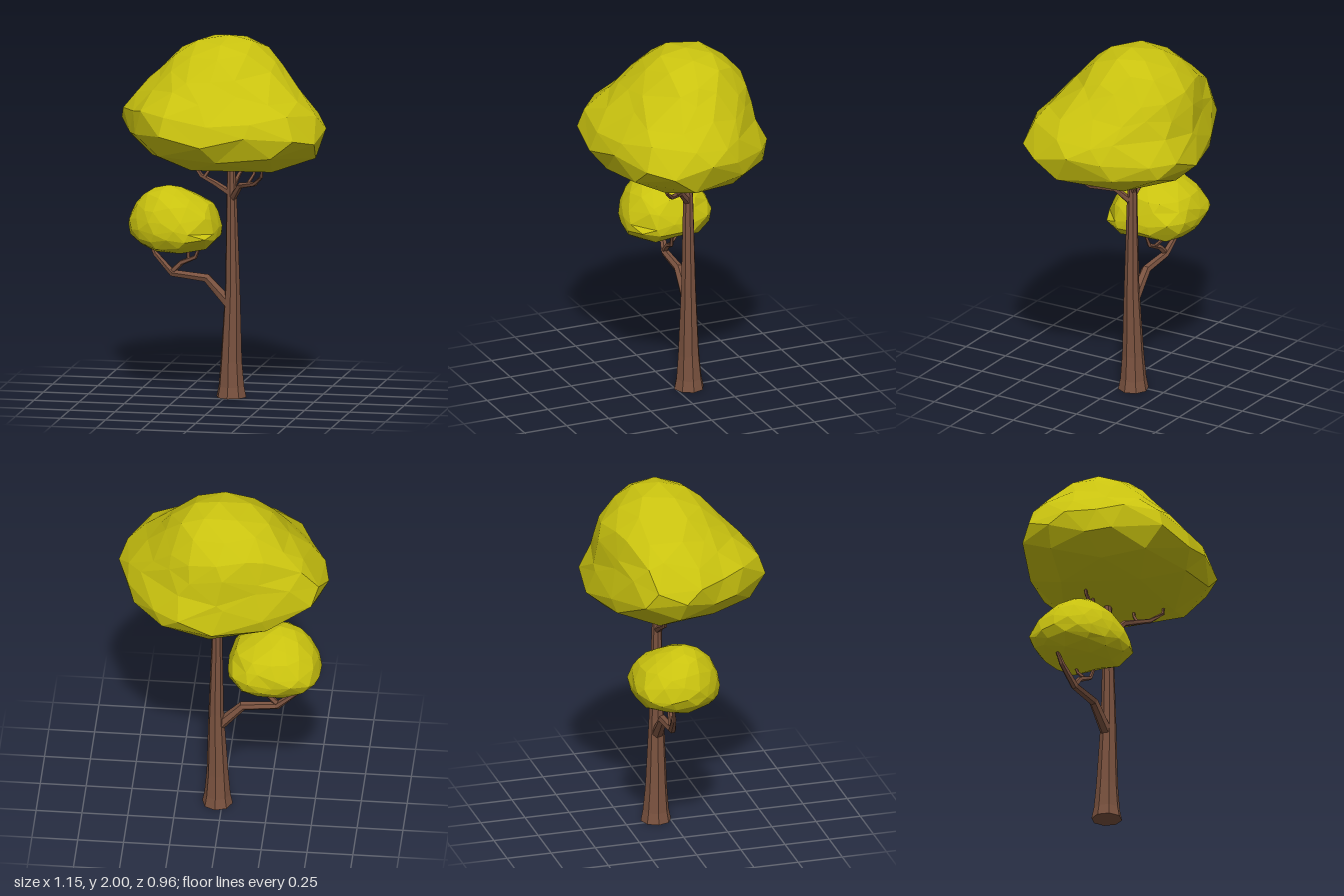
import * as THREE from 'three';

const leaves = new THREE.MeshStandardMaterial({ color: 0xc9c20f, flatShading: true });
leaves.name = 'leaf yellow green';
const bark = new THREE.MeshStandardMaterial({ color: 0x7a523f, flatShading: true });
bark.name = 'bark brown';

// Linear sampling of a list at a fractional index
function sample(list, f) {
  const i = Math.min(Math.floor(f), list.length - 2);
  return THREE.MathUtils.lerp(list[i], list[i + 1], f - i);
}

// Tapered limb through [x, y, z, radius] points, closed at both ends
function limb(name, points, sides) {
  const centers = points.map(p => new THREE.Vector3(p[0], p[1], p[2]));
  const rings = centers.map((c, k) => {
    const T = centers[Math.min(k + 1, centers.length - 1)].clone()
      .sub(centers[Math.max(k - 1, 0)]).normalize();
    const U = new THREE.Vector3(0.31, 0.05, 0.95).cross(T).normalize();
    const V = T.clone().cross(U);
    return Array.from({ length: sides }, (_, i) => {
      const a = ((i + 0.5) / sides) * Math.PI * 2;
      return c.clone().addScaledVector(U, Math.cos(a) * points[k][3])
        .addScaledVector(V, Math.sin(a) * points[k][3]);
    });
  });
  const tris = [];
  const last = rings.length - 1;
  for (let i = 0; i < sides; i++) {
    const j = (i + 1) % sides;
    for (let k = 0; k < last; k++) {
      const a = rings[k][i], b = rings[k][j], c = rings[k + 1][j], d = rings[k + 1][i];
      tris.push(a, b, c, a, c, d);
    }
    tris.push(centers[0], rings[0][j], rings[0][i]);
    tris.push(centers[last], rings[last][i], rings[last][j]);
  }
  const geometry = new THREE.BufferGeometry().setFromPoints(tris);
  geometry.computeVertexNormals();
  const mesh = new THREE.Mesh(geometry, bark);
  mesh.name = name;
  return mesh;
}

// Faceted foliage: a sphere fitted to rows of [y, xMin, xMax, zMin, zMax], top to bottom,
// with a round top and a lobed plan outline (radius by angle) further down
function foliage(name, rows, outline, phase) {
  const geometry = new THREE.IcosahedronGeometry(1, 2);
  geometry.rotateZ(0.5536);
  geometry.rotateY(phase);
  geometry.deleteAttribute('uv');
  const columns = [0, 1, 2, 3, 4].map(c => rows.map(r => r[c]));
  const loop = [...outline, outline[0]];
  const pos = geometry.attributes.position;
  const d = new THREE.Vector3();
  for (let i = 0; i < pos.count; i++) {
    d.fromBufferAttribute(pos, i).normalize();
    // irregular facets
    const h = 0.09 * Math.hypot(d.x, d.z);
    d.set(
      d.x + h * Math.sin(9 * d.y + 7 * d.z + phase),
      d.y + h * Math.sin(8 * d.x - 9 * d.z + 2 * phase),
      d.z + h * Math.sin(10 * d.x + 6 * d.y + 3 * phase)
    ).normalize();
    const t = Math.acos(THREE.MathUtils.clamp(d.y, -1, 1)) / Math.PI;
    const [y, x0, x1, z0, z1] = columns.map(c => sample(c, t * (rows.length - 1)));
    const turn = (Math.atan2(d.z, d.x) / (Math.PI * 2) + 1) % 1;
    const lobe = sample(loop, turn * outline.length);
    const r = 1.025 * THREE.MathUtils.lerp(1, lobe, THREE.MathUtils.smoothstep(t, 0.2, 0.5));
    pos.setXYZ(i,
      (x0 + x1) / 2 + (x1 - x0) / 2 * r * Math.cos(turn * Math.PI * 2),
      y,
      (z0 + z1) / 2 + (z1 - z0) / 2 * r * Math.sin(turn * Math.PI * 2));
  }
  geometry.computeVertexNormals();
  const mesh = new THREE.Mesh(geometry, leaves);
  mesh.name = name;
  return mesh;
}

export function createModel() {
  const tree = new THREE.Group();
  tree.name = 'tree';

  // Trunk with flared foot
  tree.add(limb('trunk', [
    [0.027, 0, -0.076, 0.084], [0.027, 0.06, -0.076, 0.072], [0.027, 0.2, -0.074, 0.06],
    [0.035, 0.6, -0.07, 0.042], [0.03, 1.1, -0.07, 0.029], [0.025, 1.34, -0.07, 0.02],
  ], 8));

  // Side bough carrying the small clump
  const bough = new THREE.Group();
  bough.name = 'lowerBough';
  bough.add(
    limb('boughLimb', [[0.03, 0.5, -0.07, 0.034], [-0.11, 0.65, -0.075, 0.026],
      [-0.3, 0.67, -0.08, 0.022], [-0.4, 0.77, -0.1, 0.015], [-0.43, 0.83, -0.11, 0.009]], 6),
    limb('boughFork', [[-0.31, 0.67, -0.08, 0.018], [-0.25, 0.73, -0.075, 0.015],
      [-0.17, 0.765, -0.06, 0.012], [-0.14, 0.84, -0.05, 0.007]], 5),
    limb('boughTwig', [[-0.21, 0.75, -0.07, 0.011], [-0.22, 0.79, -0.11, 0.009],
      [-0.22, 0.84, -0.13, 0.006]], 5),
  );
  tree.add(bough);

  // Crown branches: left, right front and back, each with its twig
  const crown = new THREE.Group();
  crown.name = 'crownBranches';
  [
    [[0.03, 1.12, -0.07, 0.02], [-0.06, 1.175, -0.07, 0.016], [-0.14, 1.215, -0.075, 0.013], [-0.18, 1.27, -0.08, 0.01], [-0.2, 1.33, -0.08, 0.006]],
    [[-0.12, 1.21, -0.07, 0.011], [-0.09, 1.26, -0.09, 0.009], [-0.09, 1.33, -0.1, 0.006]],
    [[0.03, 1.09, -0.07, 0.021], [0.09, 1.18, 0, 0.017], [0.19, 1.21, 0.1, 0.013], [0.24, 1.26, 0.15, 0.01], [0.245, 1.33, 0.155, 0.006]],
    [[0.14, 1.195, 0.05, 0.011], [0.17, 1.25, 0.01, 0.009], [0.17, 1.33, 0, 0.006]],
    [[0.03, 1.14, -0.07, 0.016], [0.06, 1.22, -0.11, 0.012], [0.09, 1.27, -0.14, 0.009], [0.1, 1.34, -0.15, 0.006]],
  ].forEach((p, i) => crown.add(limb('crownBranch' + (i + 1), p, 5)));
  tree.add(crown);

  // Large canopy: round dome over a wider lobed skirt
  tree.add(foliage('canopy', [
    [2.0, 0.02, 0.02, -0.06, -0.06],
    [1.98, -0.14, 0.14, -0.2, 0.06],
    [1.92, -0.25, 0.24, -0.28, 0.14],
    [1.84, -0.33, 0.3, -0.37, 0.23],
    [1.74, -0.43, 0.37, -0.42, 0.3],
    [1.65, -0.55, 0.48, -0.42, 0.42],
    [1.56, -0.58, 0.55, -0.44, 0.48],
    [1.46, -0.56, 0.57, -0.49, 0.49],
    [1.36, -0.46, 0.52, -0.47, 0.42],
    [1.29, -0.28, 0.38, -0.36, 0.24],
    [1.25, 0.13, 0.13, -0.18, -0.18],
  ], [1, 1.04, 1.09, 1, 0.91, 1.01, 1.03, 0.93, 0.86, 0.95, 1.06, 1.05, 0.92, 0.92, 1.01, 0.97, 0.92, 0.94], 0.4));

  // Small clump on the side bough
  tree.add(foliage('smallClump', [
    [1.165, -0.31, -0.31, -0.03, -0.03],
    [1.14, -0.42, -0.21, -0.14, 0.06],
    [1.06, -0.49, -0.08, -0.25, 0.14],
    [0.96, -0.54, -0.045, -0.3, 0.18],
    [0.89, -0.52, -0.04, -0.28, 0.185],
    [0.82, -0.45, -0.1, -0.22, 0.15],
    [0.795, -0.29, -0.29, 0, 0],
  ], [1, 1.2, 1, 0.95, 1, 1.15, 1, 1.15], 1.3));

  return tree;
}
